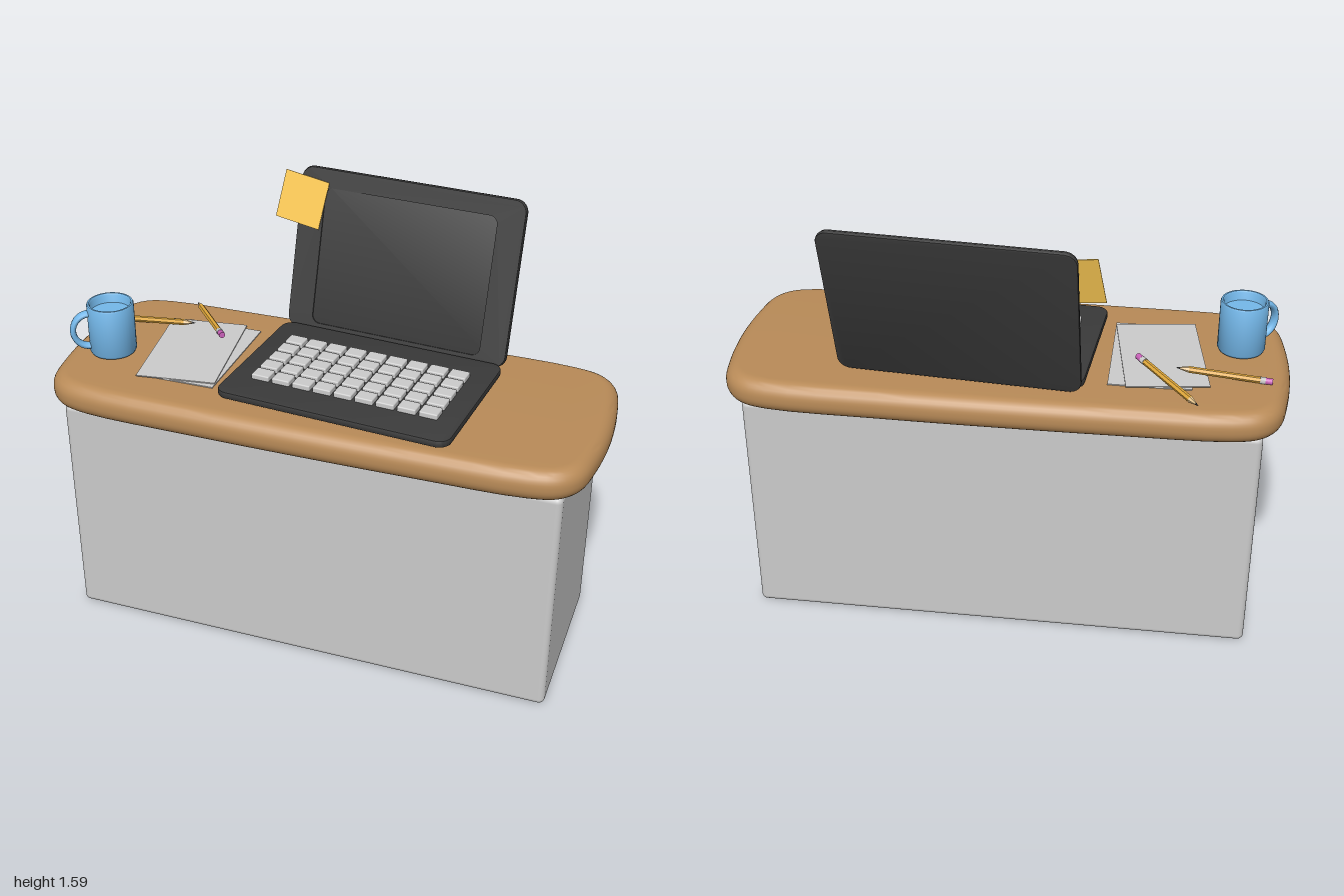
import * as THREE from 'three';
import { toCreasedNormals } from 'three/addons/utils/BufferGeometryUtils.js';
import { RoundedBoxGeometry } from 'three/addons/geometries/RoundedBoxGeometry.js';

const mat = (color, side = THREE.FrontSide) => new THREE.MeshStandardMaterial({ color, side });
const GREY = mat(0xcccccc), WOOD = mat(0xb98b58), DARK = mat(0x3a3a3a), BLUE = mat(0x74b8ea);
const YELLOW = mat(0xe0a83a), TAN = mat(0xe6c48c), LEAD = mat(0x333333), PINK = mat(0xc860b8);
const NOTE = mat(0xffcc55);

function add(parent, name, geometry, material, x = 0, y = 0, z = 0) {
  const mesh = new THREE.Mesh(geometry, material);
  mesh.name = name;
  mesh.position.set(x, y, z);
  parent.add(mesh);
  return mesh;
}

function group(parent, name, x = 0, y = 0, z = 0) {
  const g = new THREE.Group();
  g.name = name;
  g.position.set(x, y, z);
  parent.add(g);
  return g;
}

// Rounded rectangle outline centred on x, from y0 to y1
function roundedRect(w, y0, y1, r, Type = THREE.Shape) {
  const s = new Type(), a = w / 2;
  s.moveTo(-a + r, y0);
  s.lineTo(a - r, y0).absarc(a - r, y0 + r, r, -Math.PI / 2, 0);
  s.lineTo(a, y1 - r).absarc(a - r, y1 - r, r, 0, Math.PI / 2);
  s.lineTo(-a + r, y1).absarc(-a + r, y1 - r, r, Math.PI / 2, Math.PI);
  s.lineTo(-a, y0 + r).absarc(-a + r, y0 + r, r, Math.PI, Math.PI * 1.5);
  return s;
}

// Slab of the given thickness, with softened edges, lying from z = 0 to z = t
function slab(shape, t, bevel, segments = 2) {
  const g = new THREE.ExtrudeGeometry(shape, {
    depth: t - 2 * bevel, bevelEnabled: bevel > 0, bevelThickness: bevel, bevelSize: bevel,
    bevelOffset: -bevel, bevelSegments: segments, curveSegments: 8,
  });
  g.translate(0, 0, bevel);
  return toCreasedNormals(g, 0.6);
}

function addDesk(parent) {
  add(parent, 'deskBody', new RoundedBoxGeometry(1.82, 0.88, 0.67, 4, 0.022), GREY, 0, 0.44, 0.03);

  // Desk top: one quarter of the bowed outline, mirrored to all four
  const q = [[1, 0], [0.988, 0.18], [0.962, 0.3], [0.905, 0.363], [0.8, 0.393], [0.4, 0.405], [0, 0.408]];
  const half = [...q, ...q.slice(0, -1).reverse().map(([x, y]) => [-x, y])];
  const full = [...half, ...half.slice(1, -1).reverse().map(([x, y]) => [x, -y])];
  const curve = new THREE.CatmullRomCurve3(full.map(([x, y]) => new THREE.Vector3(x, y, 0)), true);
  const outline = new THREE.Shape(curve.getPoints(96).slice(0, -1).map(p => new THREE.Vector2(p.x, p.y)));
  const top = slab(outline, 0.116, 0.052, 8);
  top.rotateX(-Math.PI / 2);
  add(parent, 'deskTop', top, WOOD, 0, 0.875, 0.027);
}

function addLaptop(parent) {
  const laptop = group(parent, 'laptop', 0.115, 1.0, 0.06);
  laptop.rotation.y = -0.08;

  const base = slab(roundedRect(0.86, -0.29, 0.29, 0.045), 0.025, 0.004);
  base.rotateX(-Math.PI / 2);
  add(laptop, 'laptopBase', base, DARK);

  // Keyboard grid
  const keys = group(laptop, 'keyboard', 0, 0.033, 0);
  const key = new RoundedBoxGeometry(0.067, 0.022, 0.056, 2, 0.005);
  for (let row = 0; row < 5; row++)
    for (let col = 0; col < 9; col++)
      add(keys, 'key', key, GREY, (col - 4) * 0.0785, 0, (row - 2) * 0.068);

  // Lid leaning back, with the bezel standing proud of the screen
  const lid = group(laptop, 'laptopLid', 0, 0.005, -0.292);
  lid.rotation.x = -0.265;
  add(lid, 'lidShell', slab(roundedRect(0.86, 0, 0.605, 0.045), 0.017, 0.004), DARK, 0, 0, -0.022);
  const bezel = roundedRect(0.854, 0.003, 0.602, 0.043);
  bezel.holes.push(roundedRect(0.66, 0.03, 0.535, 0.03, THREE.Path));
  add(lid, 'screenBezel', slab(bezel, 0.009, 0), DARK, 0, 0, -0.009);

  // Sticky note on the corner of the screen
  const note = add(lid, 'stickyNote', new THREE.BoxGeometry(0.177, 0.178, 0.003), NOTE, -0.416, 0.478, 0.004);
  note.rotation.z = -0.14;
}

function addPapers(parent) {
  const sheet = new THREE.BoxGeometry(0.29, 0.004, 0.455);
  add(parent, 'lowerPaper', sheet, GREY, -0.515, 0.993, 0.025);
  add(parent, 'upperPaper', sheet, GREY, -0.546, 0.998, 0.025).rotation.y = 0.14;
}

// Six-sided pencil running from its eraser end to its tip
function addPencil(parent, from, to) {
  const a = new THREE.Vector3(...from), dir = new THREE.Vector3(...to).sub(a);
  const len = dir.length(), r = 0.0115;
  const pencil = group(parent, 'pencil', ...from);
  pencil.quaternion.setFromUnitVectors(new THREE.Vector3(0, 1, 0), dir.normalize());
  const piece = (name, r0, r1, y0, y1, material, sides) => {
    const g = toCreasedNormals(new THREE.CylinderGeometry(r1, r0, y1 - y0, sides), 0.7);
    add(pencil, name, g, material, 0, (y0 + y1) / 2, 0);
  };
  piece('eraser', r, r, 0, 0.025, PINK, 12);
  piece('ferrule', r * 1.08, r * 1.08, 0.025, 0.043, GREY, 12);
  piece('pencilShaft', r, r, 0.043, len - 0.045, YELLOW, 6);
  piece('sharpenedWood', r, r * 0.35, len - 0.045, len - 0.014, TAN, 6);
  piece('pencilLead', r * 0.35, 0.0005, len - 0.014, len, LEAD, 6);
}

function addMug(parent) {
  const mug = group(parent, 'mug', -0.824, 0.992, 0.115);
  const profile = [
    [0, 0], [0.072, 0], [0.08, 0.004], [0.085, 0.013], [0.085, 0.19], [0.082, 0.196],
    [0.076, 0.196], [0.072, 0.19], [0.072, 0.02], [0, 0.02],
  ].map(([x, y]) => new THREE.Vector2(x, y));
  add(mug, 'mugCup', toCreasedNormals(new THREE.LatheGeometry(profile, 40), 0.8), BLUE);
  const drink = new THREE.CircleGeometry(0.073, 40);
  drink.rotateX(-Math.PI / 2);
  add(mug, 'drink', drink, BLUE, 0, 0.16, 0);

  // Handle: half ring, flattened into a band
  const ring = new THREE.TorusGeometry(0.058, 0.011, 10, 24, Math.PI * 1.1);
  ring.rotateZ(-Math.PI * 0.55);
  ring.scale(1, 1.1, 1.7);
  const handle = add(mug, 'mugHandle', ring, BLUE);
  const angle = Math.atan2(0.085, -0.115);
  handle.position.set(Math.cos(angle) * 0.083, 0.098, Math.sin(angle) * 0.083);
  handle.rotation.y = -angle;
}

export function createModel() {
  const model = new THREE.Group();
  model.name = 'deskWithLaptop';
  addDesk(model);
  addLaptop(model);
  addPapers(model);
  addPencil(model, [-0.932, 0.998, -0.118], [-0.6, 1.03, -0.118]);
  addPencil(model, [-0.465, 1.032, -0.058], [-0.683, 1.005, -0.325]);
  addMug(model);
  return model;
}
